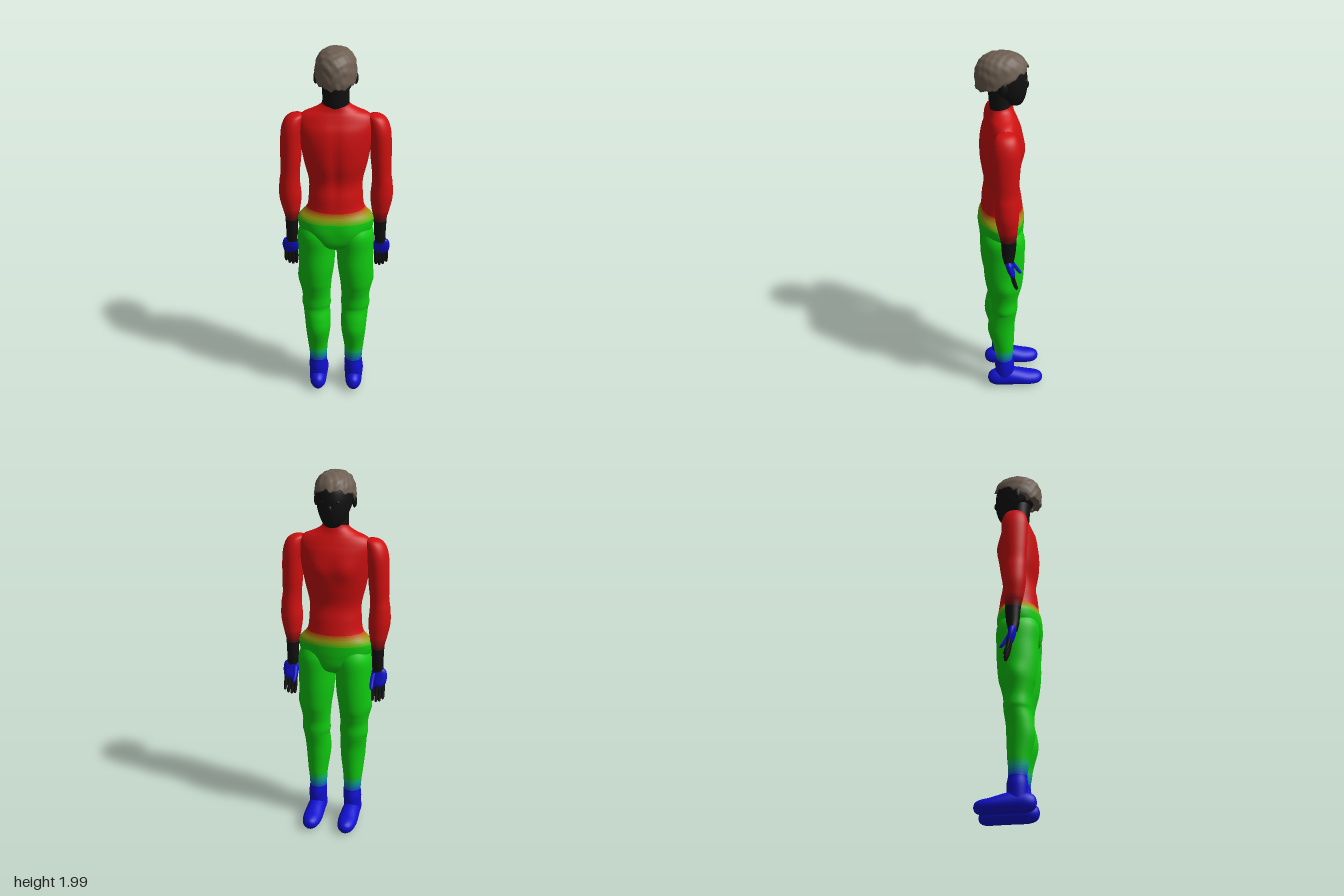
import * as THREE from 'three';

const RED = 0xd01010, GREEN = 0x10cc10, BLUE = 0x1010d0, BLACK = 0x111111, HAIR = 0x6e5f52;
const lerp = THREE.MathUtils.lerp;
const gauss = (d, w) => Math.exp(-(d * d) / (w * w));

// Closed tube of rows x cols points, rows running upwards; point(i, angle) -> Vector3
function tubeGrid(rows, cols, point) {
  const pos = [], index = [];
  for (let i = 0; i < rows; i++) {
    for (let j = 0; j < cols; j++) pos.push(...point(i, (j / cols) * Math.PI * 2).toArray());
  }
  for (let i = 0; i < rows - 1; i++) {
    for (let j = 0; j < cols; j++) {
      const a = i * cols + j, b = i * cols + (j + 1) % cols;
      index.push(a, a + cols, b, b, a + cols, b + cols);
    }
  }
  const g = new THREE.BufferGeometry();
  g.setAttribute('position', new THREE.Float32BufferAttribute(pos, 3));
  g.setIndex(index);
  g.computeVertexNormals();
  return g;
}

// Smooth loft through elliptical rings [x, y, z, rx, rz]
function loft(rings, cols = 32, steps = 6, bump = null) {
  const rows = (rings.length - 1) * steps + 1;
  const at = (i) => rings[THREE.MathUtils.clamp(i, 0, rings.length - 1)];
  return tubeGrid(rows, cols, (i, a) => {
    const k = Math.min(Math.floor(i / steps), rings.length - 2), t = i / steps - k;
    const r = [0, 1, 2, 3, 4].map((c) => {
      const p0 = at(k - 1)[c], p1 = at(k)[c], p2 = at(k + 1)[c], p3 = at(k + 2)[c];
      const m1 = (p2 - p0) / 2, m2 = (p3 - p1) / 2;
      return (2 * t ** 3 - 3 * t * t + 1) * p1 + (t ** 3 - 2 * t * t + t) * m1
        + (3 * t * t - 2 * t ** 3) * p2 + (t ** 3 - t * t) * m2;
    });
    const v = new THREE.Vector3(r[0] + Math.max(r[3], 0) * Math.cos(a), r[1], r[2] + Math.max(r[4], 0) * Math.sin(a));
    if (bump) bump(v);
    return v;
  });
}

function addMesh(parent, name, geometry, color) {
  const mesh = new THREE.Mesh(geometry, new THREE.MeshStandardMaterial({ color, side: THREE.DoubleSide }));
  mesh.name = name;
  parent.add(mesh);
  return mesh;
}

// Splits a loft into bands of colour that fade from one to the next between y0 and y1
function addFaded(parent, name, geometry, low, high, y0, y1) {
  const n = 6, bands = Array.from({ length: n + 1 }, () => []);
  const idx = geometry.index.array, p = geometry.attributes.position;
  for (let i = 0; i < idx.length; i += 6) {
    const y = (p.getY(idx[i]) + p.getY(idx[i + 1])) / 2;
    const b = Math.round(THREE.MathUtils.clamp((y - y0) / (y1 - y0), 0, 1) * n);
    bands[b].push(...idx.slice(i, i + 6));
  }
  const group = new THREE.Group();
  group.name = name;
  bands.forEach((band, b) => {
    if (!band.length) return;
    const g = geometry.clone();
    g.setIndex(band);
    const color = new THREE.Color(low).lerp(new THREE.Color(high), b / n);
    addMesh(group, name + 'Band' + b, g.toNonIndexed(), color);
  });
  parent.add(group);
}

function ball(parent, name, color, [x, y, z], [rx, ry, rz]) {
  const m = addMesh(parent, name, new THREE.SphereGeometry(1, 20, 14), color);
  m.position.set(x, y, z);
  m.scale.set(rx, ry, rz);
}

function addTorso(body) {
  const rings = [
    [0, 0.9, 0.045, 0.005, 0.02], [0, 0.925, 0.045, 0.07, 0.08], [0, 0.96, 0.046, 0.14, 0.108],
    [0, 1.02, 0.046, 0.188, 0.117], [0, 1.07, 0.046, 0.2, 0.12], [0, 1.1, 0.045, 0.192, 0.119],
    [0, 1.13, 0.043, 0.163, 0.112], [0, 1.16, 0.043, 0.147, 0.108], [0, 1.22, 0.045, 0.141, 0.102],
    [0, 1.3, 0.046, 0.14, 0.091], [0, 1.4, 0.047, 0.163, 0.106], [0, 1.5, 0.044, 0.182, 0.112],
    [0, 1.58, 0.042, 0.195, 0.103], [0, 1.63, 0.04, 0.195, 0.085], [0, 1.662, 0.04, 0.168, 0.072],
    [0, 1.685, 0.04, 0.115, 0.063], [0, 1.71, 0.041, 0.074, 0.058], [0, 1.74, 0.044, 0.064, 0.055],
  ];
  // chest, spine groove and seat relief
  const relief = (v) => {
    const x = Math.abs(v.x);
    if (v.z < 0) v.z -= 0.012 * gauss(x - 0.075, 0.05) * gauss(v.y - 1.5, 0.06);
    if (v.z > 0.08) {
      v.z -= 0.012 * gauss(x, 0.025) * gauss(v.y - 1.4, 0.2);
      v.z += 0.01 * gauss(x - 0.09, 0.06) * gauss(v.y - 1.02, 0.06);
    }
  };
  addFaded(body, 'torso', loft(rings, 48, 7, relief), GREEN, RED, 1.08, 1.15);
}

function addLeg(body, s, side) {
  const rings = [
    [0.1, 0.07, 0.04, 0.045, 0.05], [0.1, 0.15, 0.04, 0.05, 0.054], [0.098, 0.2, 0.042, 0.048, 0.048],
    [0.099, 0.25, 0.045, 0.05, 0.052], [0.1, 0.3, 0.047, 0.055, 0.058], [0.098, 0.4, 0.058, 0.067, 0.073],
    [0.1, 0.47, 0.054, 0.071, 0.072], [0.105, 0.53, 0.042, 0.073, 0.069], [0.106, 0.56, 0.041, 0.078, 0.071],
    [0.106, 0.61, 0.042, 0.076, 0.073], [0.107, 0.66, 0.042, 0.08, 0.084], [0.107, 0.71, 0.042, 0.085, 0.097],
    [0.104, 0.8, 0.043, 0.095, 0.107], [0.102, 0.9, 0.042, 0.099, 0.11], [0.1, 1, 0.045, 0.1, 0.112],
    [0.095, 1.07, 0.045, 0.07, 0.085],
  ].map(([x, ...r]) => [x * s, ...r]);
  // sagging pocket on the outer thigh
  const pocket = (v) => {
    if (v.x * s > 0.12) v.x += s * 0.012 * gauss(v.z - 0.04, 0.05) * gauss(v.y - 0.72, 0.05);
  };
  addFaded(body, side + 'Leg', loft(rings, 36, 7, pocket), BLUE, GREEN, 0.19, 0.28);

  // foot, lofted from heel to toe: [x, -z, y, rx, ry]
  const foot = loft([
    [0.1, -0.136, 0.065, 0.002, 0.002], [0.1, -0.125, 0.065, 0.026, 0.032], [0.1, -0.09, 0.066, 0.043, 0.05],
    [0.1, -0.03, 0.068, 0.048, 0.056], [0.1, 0.03, 0.062, 0.052, 0.05], [0.1, 0.09, 0.052, 0.053, 0.042],
    [0.1, 0.14, 0.047, 0.044, 0.037], [0.1, 0.168, 0.046, 0.025, 0.024], [0.1, 0.177, 0.046, 0.002, 0.002],
  ].map(([x, ...r]) => [x * s, ...r]), 28, 5);
  foot.rotateX(-Math.PI / 2);
  addMesh(body, side + 'Foot', foot, BLUE);
}

function addArm(body, s, side) {
  const mirror = (rings) => rings.map(([x, ...r]) => [x * s, ...r]);
  const arm = loft(mirror([
    [0.237, 0.93, 0.032, 0.03, 0.024], [0.234, 0.97, 0.032, 0.03, 0.033], [0.234, 1.02, 0.031, 0.032, 0.038],
    [0.233, 1.08, 0.033, 0.036, 0.043], [0.234, 1.12, 0.036, 0.045, 0.05], [0.238, 1.2, 0.04, 0.058, 0.06],
    [0.24, 1.28, 0.042, 0.054, 0.06], [0.236, 1.34, 0.043, 0.05, 0.06], [0.232, 1.42, 0.042, 0.054, 0.066],
    [0.228, 1.52, 0.041, 0.056, 0.071], [0.222, 1.58, 0.041, 0.056, 0.07], [0.212, 1.625, 0.041, 0.05, 0.06],
    [0.2, 1.65, 0.041, 0.036, 0.042], [0.19, 1.662, 0.041, 0.004, 0.004],
  ]), 32, 7);
  addFaded(body, side + 'Arm', arm, BLACK, RED, 1.06, 1.14);

  // palm
  addMesh(body, side + 'Palm', loft(mirror([
    [0.242, 0.95, 0.032, 0.02, 0.01], [0.243, 0.935, 0.031, 0.038, 0.02], [0.244, 0.9, 0.025, 0.043, 0.02],
    [0.243, 0.865, 0.015, 0.038, 0.016], [0.243, 0.845, 0.01, 0.028, 0.006],
  ]), 24, 5), BLUE);
  // fingers
  [0.77, 0.765, 0.77, 0.785].forEach((tip, i) => {
    const x = 0.215 + i * 0.0185, mid = lerp(tip, 0.87, 0.45);
    addMesh(body, side + 'Finger' + (i + 1), loft(mirror([
      [x + 0.001, tip, -0.008, 0.002, 0.002], [x + 0.001, tip + 0.008, -0.006, 0.008, 0.008],
      [x, mid, 0.006, 0.0095, 0.0105], [x, 0.87, 0.016, 0.01, 0.011],
    ]), 12, 4), BLACK);
  });
  // thumb reaching forwards
  addMesh(body, side + 'Thumb', loft(mirror([
    [0.214, 0.845, -0.034, 0.002, 0.002], [0.214, 0.853, -0.03, 0.009, 0.009],
    [0.212, 0.885, -0.008, 0.011, 0.012], [0.216, 0.925, 0.018, 0.012, 0.014],
  ]), 12, 4), BLUE);
}

function addHead(body) {
  addMesh(body, 'neck', loft([
    [0, 1.7, 0.043, 0.07, 0.056], [0, 1.73, 0.045, 0.068, 0.058],
    [0, 1.77, 0.048, 0.068, 0.058], [0, 1.84, 0.05, 0.07, 0.062],
  ], 28), BLACK);
  addMesh(body, 'head', loft([
    [0, 1.718, -0.025, 0.003, 0.003], [0, 1.726, -0.022, 0.033, 0.036], [0, 1.75, -0.015, 0.056, 0.058],
    [0, 1.79, 0.002, 0.076, 0.086], [0, 1.83, 0.018, 0.089, 0.106], [0, 1.88, 0.032, 0.097, 0.118],
    [0, 1.93, 0.038, 0.09, 0.108], [0, 1.965, 0.038, 0.055, 0.065], [0, 1.98, 0.038, 0.004, 0.004],
  ], 36), BLACK);
  ball(body, 'nose', BLACK, [0, 1.825, -0.086], [0.012, 0.02, 0.01]);
  for (const s of [1, -1]) {
    const side = s > 0 ? 'left' : 'right';
    ball(body, side + 'Ear', BLACK, [s * 0.1, 1.845, 0.04], [0.012, 0.032, 0.02]);
    ball(body, side + 'Eye', BLACK, [s * 0.036, 1.86, -0.074], [0.014, 0.009, 0.008]);
  }
}

// Tousled hair cap: low at the nape, high over the forehead, rim rolled inwards
function addHair(body) {
  const rows = 34, cols = 72, roll = 4;
  const hair = tubeGrid(rows, cols, (i, a) => {
    const front = -Math.sin(a);
    let rim = front < 0 ? lerp(1.862, 1.818, Math.pow(-front, 0.7)) : lerp(1.862, 1.92, Math.pow(front, 0.7));
    rim += 0.007 * Math.sin(a * 9 + 1) + 0.004 * Math.sin(a * 17);
    const q = (rim - 1.87) / 0.128;
    const last = Math.acos(Math.sign(q) * Math.pow(Math.abs(q), 1.25));
    const phi = last * (1 - Math.max(i - roll, 0) / (rows - 1 - roll));
    const c = Math.cos(phi), inward = 1 - 0.07 * Math.max(roll - i, 0);
    const h = Math.pow(Math.max(Math.sin(phi), 0), 0.8) * inward;
    const y = 1.87 + 0.128 * Math.sign(c) * Math.pow(Math.abs(c), 0.8);
    const v = new THREE.Vector3(0.106 * h * Math.cos(a), y, 0.038 + 0.135 * h * Math.sin(a));
    const lump = Math.sin(v.x * 95 + v.z * 60) * Math.sin(v.y * 110 - v.z * 45)
      + 0.6 * Math.sin(v.x * 150 - v.z * 130 + v.y * 60);
    const k = 1 + 0.02 * lump;
    return v.set(v.x * k, 1.87 + (v.y - 1.87) * (1 + 0.012 * lump), 0.038 + (v.z - 0.038) * k);
  });
  addMesh(body, 'hair', hair, HAIR);
}

export function createModel() {
  const body = new THREE.Group();
  body.name = 'figure';
  addTorso(body);
  for (const s of [1, -1]) {
    // the figure faces -z, so sides are named for the +z front of the frame
    const side = s > 0 ? 'left' : 'right';
    addLeg(body, s, side);
    addArm(body, s, side);
  }
  addHead(body);
  addHair(body);
  return body;
}
